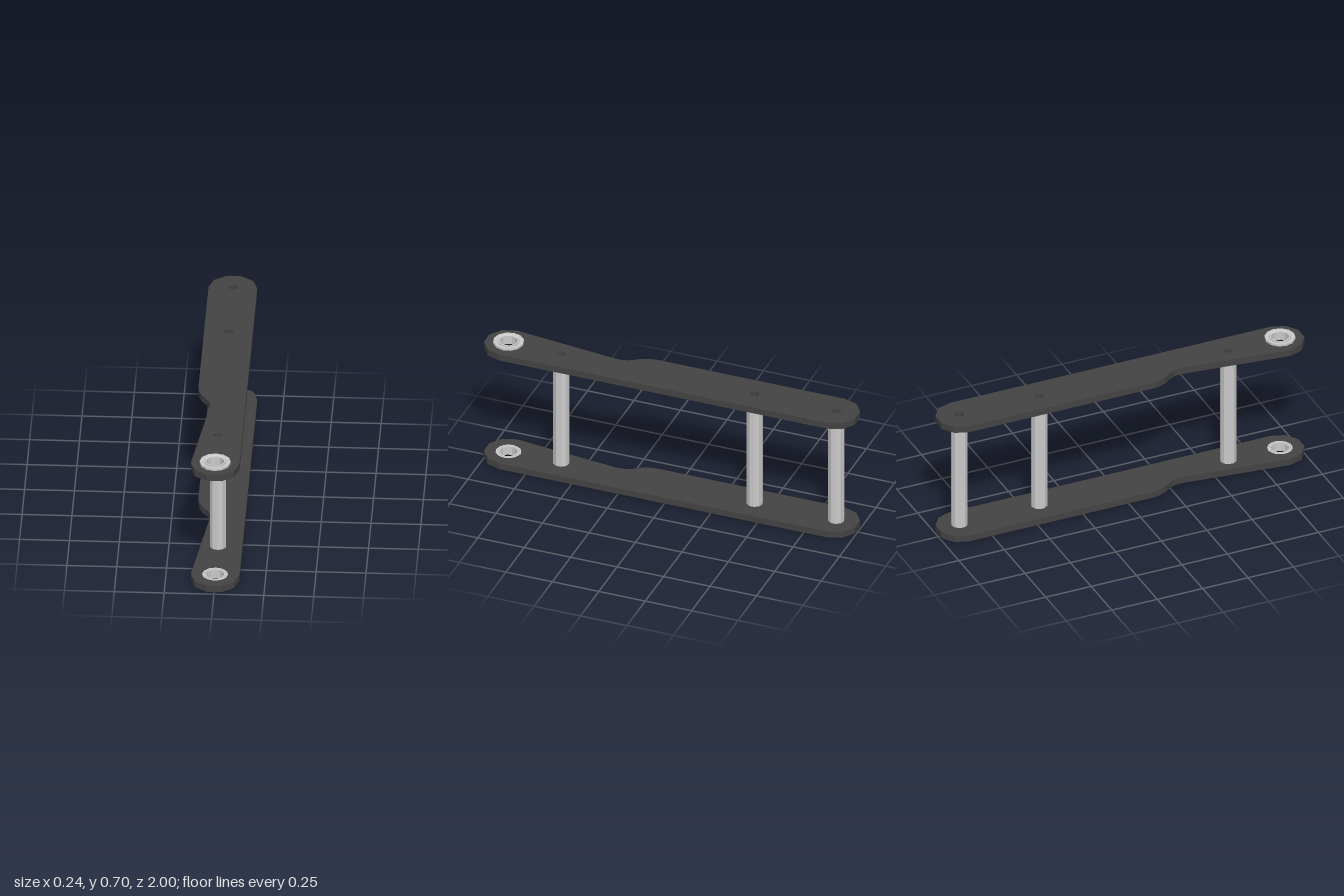
import * as THREE from 'three';

const HEIGHT = 0.7;        // overall height
const THICK = 0.035;       // plate thickness
const LIP = 0.012;         // bearing flange height beyond the plate
const END = 0.88;          // z of the rounded plate end centres
const WIDTH = 0.122;       // half width of a plate
const SPACERS = [-0.884, -0.445, 0.596];

const metal = new THREE.MeshStandardMaterial({ color: 0xcccccc, flatShading: true });
const dark = new THREE.MeshStandardMaterial({ color: 0x444444, flatShading: true });

// Ring solid from a closed counter-clockwise [radius, y] profile
function ring(profile, sides, name) {
  const pts = [...profile, profile[0]].map(([r, y]) => new THREE.Vector2(r, y));
  const mesh = new THREE.Mesh(new THREE.LatheGeometry(pts, sides), metal);
  mesh.name = name;
  return mesh;
}

// Plate outline with faceted round ends and a notch on the right edge (shape y = -z)
function plateGeometry() {
  const pts = [];
  const arc = (zc, dir) => {
    for (let i = 0; i <= 5; i++) {
      const a = (i / 5) * Math.PI;
      pts.push([dir * WIDTH * Math.cos(a), zc - dir * WIDTH * Math.sin(a)]);
    }
  };
  arc(-END - 0.002, 1);
  pts.push([-0.122, 0.13], [-0.115, 0.17], [-0.1, 0.205], [-0.075, 0.24],
    [-0.06, 0.27], [-0.055, 0.305], [-0.058, 0.345]);
  arc(END + 0.002, -1);
  const shape = new THREE.Shape(pts.map(([x, z]) => new THREE.Vector2(x, -z)));

  const hole = (z, r) => shape.holes.push(new THREE.Path().absarc(0, -z, r, 0, Math.PI * 2, true));
  SPACERS.forEach((z) => hole(z, 0.022));
  hole(END, 0.064);

  const geo = new THREE.ExtrudeGeometry(shape, { depth: THICK, bevelEnabled: false, curveSegments: 12 });
  return geo.rotateX(-Math.PI / 2);
}

// Flanged bearing: origin at the inner face of the plate, flange pointing up
function bearing() {
  const top = THICK + LIP;
  const group = new THREE.Group();
  const outer = ring([[0.056, 0], [0.066, 0], [0.066, THICK], [0.078, THICK],
    [0.078, top], [0.062, top], [0.056, top - 0.003]], 12, 'outerRace');
  const shield = ring([[0.051, 0.004], [0.057, 0.004], [0.057, top - 0.006], [0.051, top - 0.006]], 12, 'shield');
  const inner = ring([[0.045, 0], [0.052, 0], [0.052, top], [0.045, top]], 12, 'innerRace');
  group.add(outer, shield, inner);
  return group;
}

export function createModel() {
  const model = new THREE.Group();
  model.name = 'linkFrame';

  // Two identical side plates
  const geo = plateGeometry();
  [['lowerPlate', LIP], ['upperPlate', HEIGHT - LIP - THICK]].forEach(([name, y]) => {
    const plate = new THREE.Mesh(geo, dark);
    plate.name = name;
    plate.position.y = y;
    model.add(plate);
  });

  // Hollow spacers between the plates
  const y0 = LIP + THICK, y1 = HEIGHT - y0;
  SPACERS.forEach((z, i) => {
    const spacer = ring([[0.022, y0], [0.042, y0], [0.042, y1], [0.022, y1]], 10, `spacer${i + 1}`);
    spacer.position.z = z;
    model.add(spacer);
  });

  // Bearings with their flanges on the outer faces
  const upper = bearing();
  upper.name = 'upperBearing';
  upper.position.set(0, y1, END);
  const lower = bearing();
  lower.name = 'lowerBearing';
  lower.position.set(0, y0, END);
  lower.rotation.z = Math.PI;
  model.add(upper, lower);

  return model;
}
